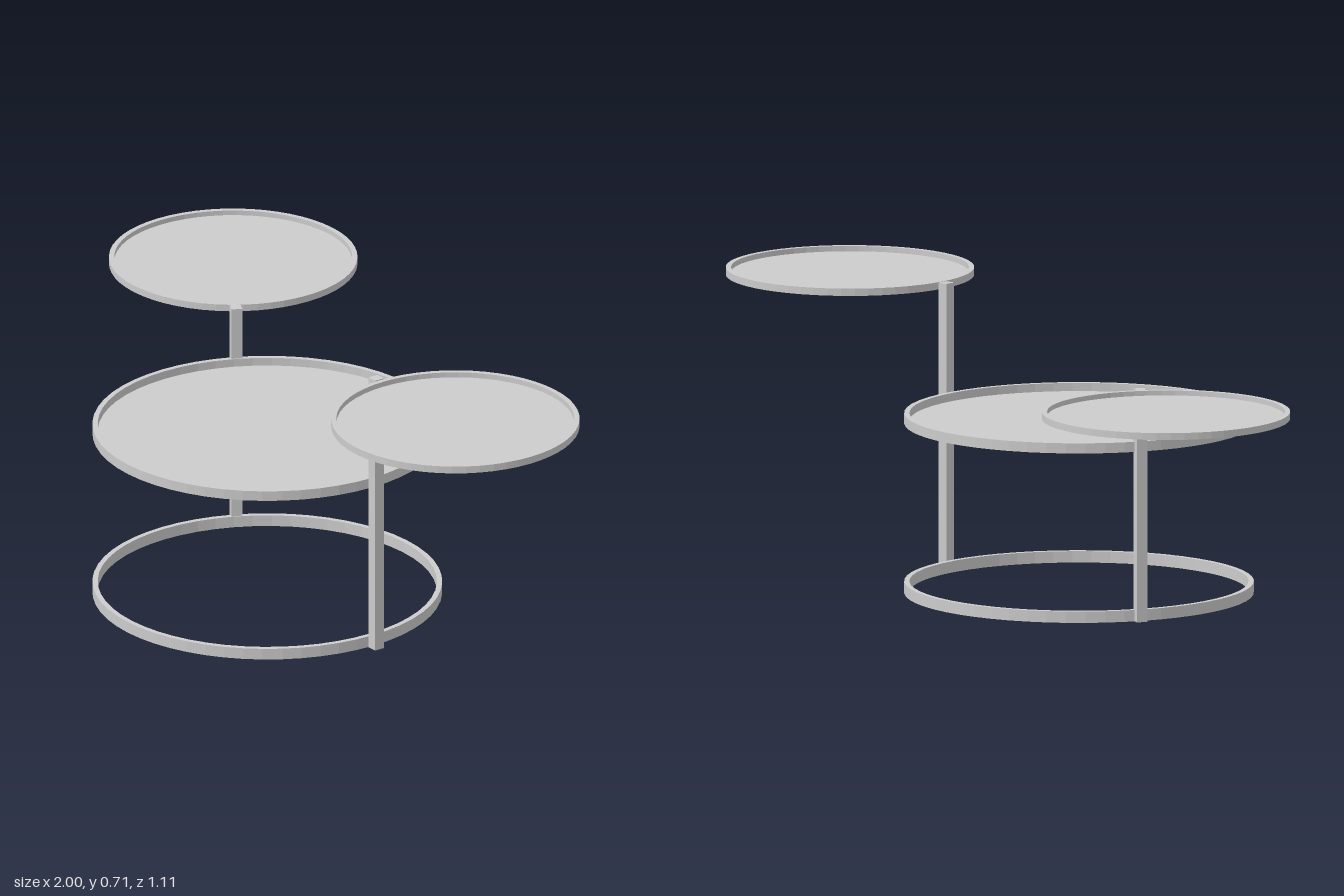
import * as THREE from 'three';

const SIDES = 56;
const RIM = 0.013;   // rim wall thickness
const FLOOR = 0.005; // tray plate thickness
const POST = 0.027;  // square post width

export function createModel() {
  const model = new THREE.Group();
  const material = new THREE.MeshStandardMaterial({ color: 0xcccccc, flatShading: true });

  const lathe = (name, profile, x, y, z) => {
    const points = profile.map(([r, h]) => new THREE.Vector2(r, h));
    const mesh = new THREE.Mesh(new THREE.LatheGeometry(points, SIDES), material);
    mesh.name = name;
    mesh.position.set(x, y, z);
    model.add(mesh);
  };

  // Open hoop with a rectangular section
  const addRing = (name, r, h, x, y, z) => lathe(name,
    [[r - RIM, 0], [r, 0], [r, h], [r - RIM, h], [r - RIM, 0]], x, y, z);

  // Round plate with a raised rim
  const addTray = (name, r, h, x, y, z) => lathe(name,
    [[0, 0], [r, 0], [r, h], [r - RIM, h], [r - RIM, FLOOR], [0, FLOOR]], x, y, z);

  // Square post standing on the ground, turned about y
  const addPost = (name, h, x, z, turn) => {
    const mesh = new THREE.Mesh(new THREE.BoxGeometry(POST, h, POST), material);
    mesh.name = name;
    mesh.position.set(x, h / 2, z);
    mesh.rotation.y = turn;
    model.add(mesh);
  };

  // Base hoop and the large table top above it
  addRing('baseRing', 0.425, 0.028, -0.06, 0, 0.128);
  addTray('mainTray', 0.425, 0.025, -0.06, 0.418, 0.128);

  // Side trays, each carried by a post outside the base hoop
  addTray('leftTray', 0.302, 0.018, 0.698, 0.693, 0.128);
  addPost('leftPost', 0.711, 0.379, 0.128, 0);
  addTray('rightTray', 0.302, 0.017, -0.698, 0.556, -0.25);
  addPost('rightPost', 0.573, -0.442, -0.065, -0.47);

  return model;
}
